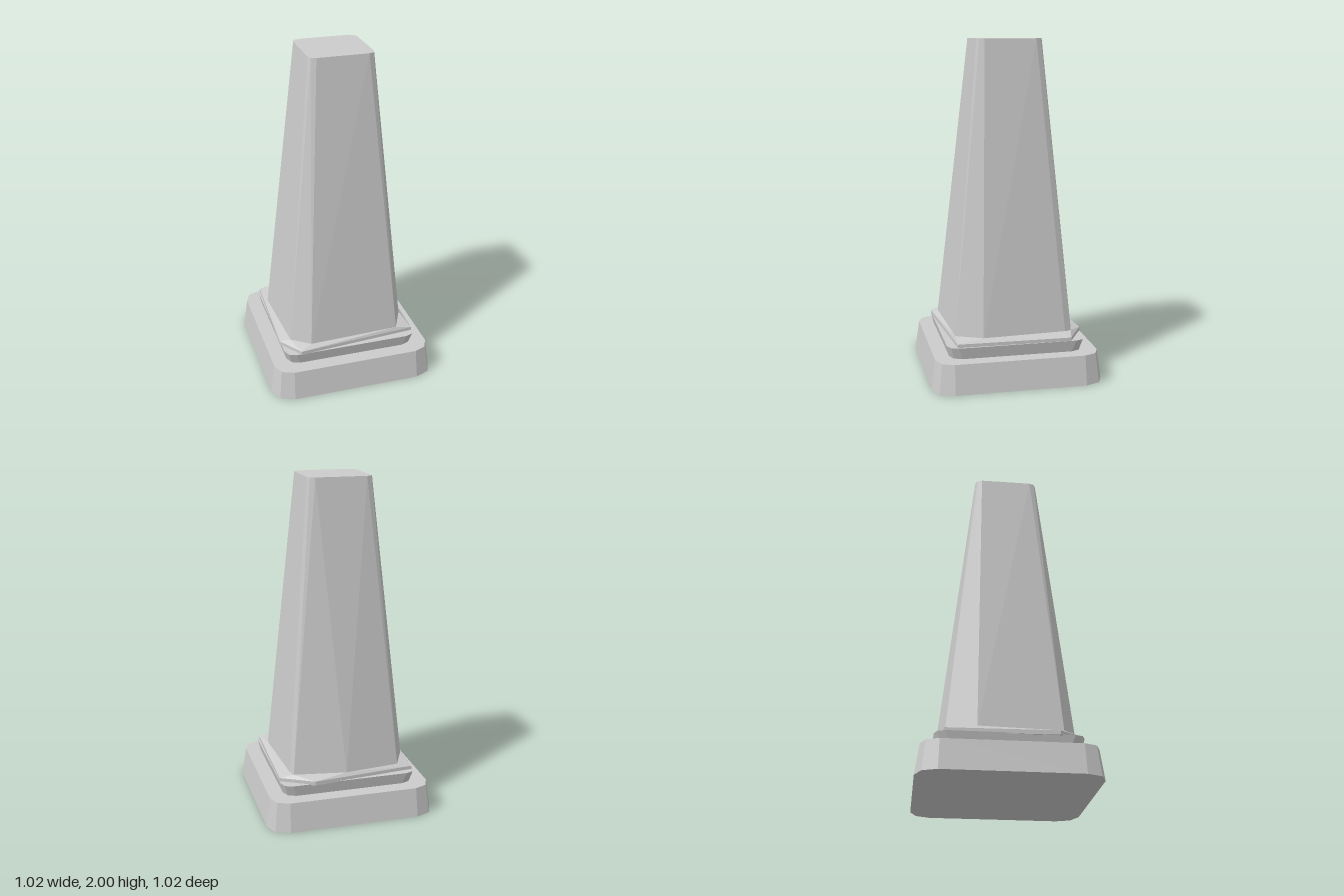
import * as THREE from 'three';
import { ConvexGeometry } from 'three/addons/geometries/ConvexGeometry.js';

// Square outline with corners cut in a few straight steps, as [x, z] pairs
function roundedSquare(half, radius, steps) {
  const points = [];
  const c = half - radius;
  for (let corner = 0; corner < 4; corner++) {
    const start = corner * Math.PI / 2;
    const mid = start + Math.PI / 4;
    const cx = Math.sign(Math.cos(mid)) * c;
    const cz = Math.sign(Math.sin(mid)) * c;
    for (let i = 0; i <= steps; i++) {
      const a = start + (i / steps) * Math.PI / 2;
      points.push([cx + radius * Math.cos(a), cz + radius * Math.sin(a)]);
    }
  }
  return points;
}

// Solid spanning several horizontal outlines, given as [y, outline]
function block(name, material, ...levels) {
  const points = levels.flatMap(([y, outline]) =>
    outline.map(([x, z]) => new THREE.Vector3(x, y, z)));
  const mesh = new THREE.Mesh(new ConvexGeometry(points), material);
  mesh.name = name;
  return mesh;
}

export function createModel() {
  const group = new THREE.Group();
  group.name = 'taperedPillar';
  const stone = new THREE.MeshStandardMaterial({ color: 0xcccccc, flatShading: true });

  // Uneven hand-cut outlines of the shaft foot and the lip beneath it
  const foot = [
    [-0.31, -0.35], [0.02, -0.39], [0.33, -0.34], [0.345, -0.3], [0.375, 0.2],
    [0.3, 0.355], [-0.25, 0.38], [-0.36, 0.3], [-0.39, -0.18],
  ];
  const lip = [
    [-0.4, -0.36], [0.22, -0.425], [0.41, -0.32],
    [0.4, 0.355], [-0.32, 0.415], [-0.42, 0.27],
  ];

  group.add(
    // Flared base slab
    block('plinth', stone,
      [0, roundedSquare(0.51, 0.12, 2)], [0.175, roundedSquare(0.485, 0.1, 2)]),
    // Step above the slab, widening slightly upward
    block('collar', stone,
      [0.17, roundedSquare(0.395, 0.07, 2)], [0.245, roundedSquare(0.412, 0.06, 2)]),
    // Irregular sloping lip around the shaft foot
    block('lip', stone, [0.24, lip], [0.265, lip], [0.285, foot]),
    // Tall shaft tapering to a flat top
    block('shaft', stone, [0.28, foot], [2, roundedSquare(0.192, 0.04, 2)]),
  );
  return group;
}
